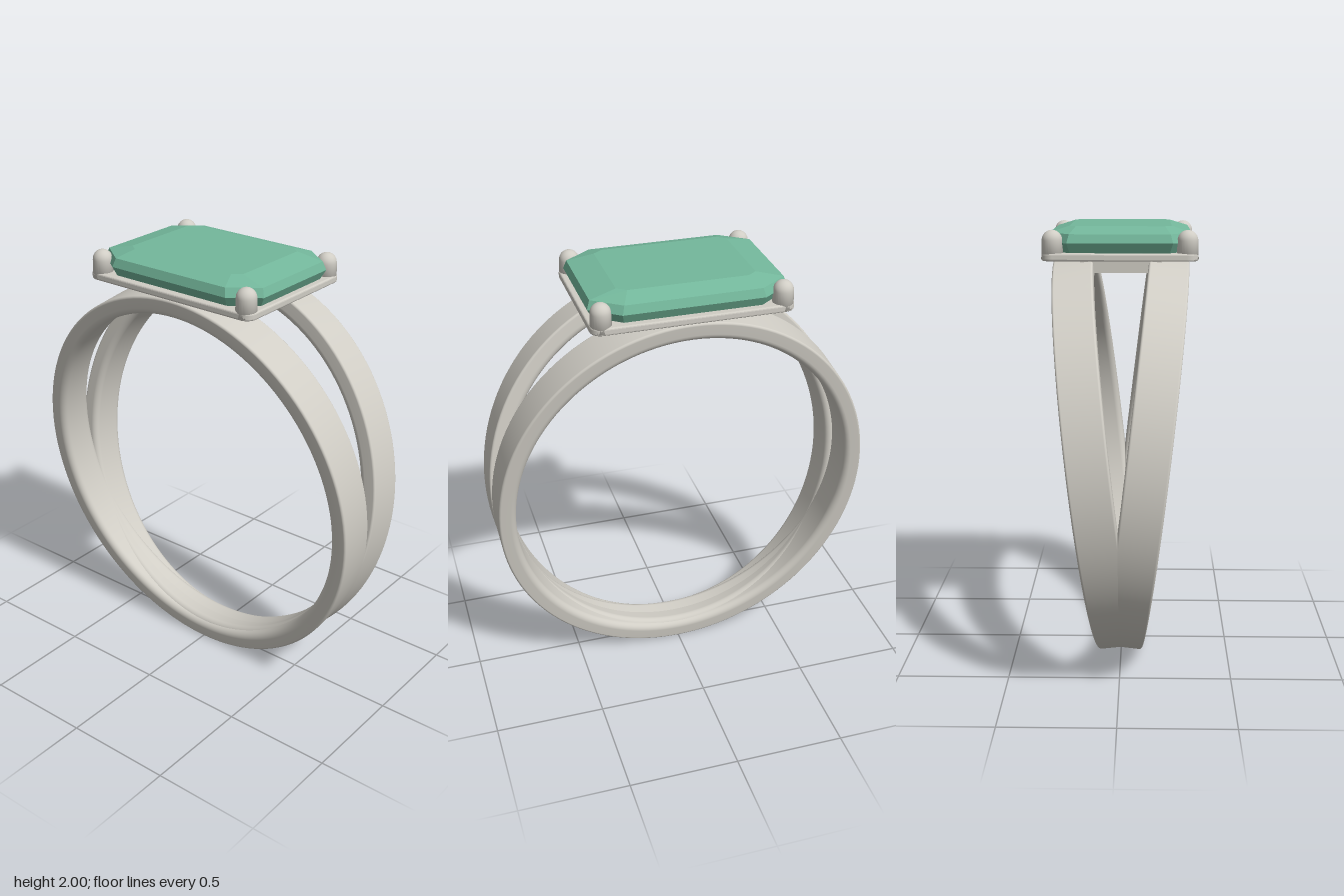
import * as THREE from 'three';

const metal = new THREE.MeshStandardMaterial({ color: 0xd0cdc5 });
metal.name = 'silver metal';
const green = new THREE.MeshStandardMaterial({ color: 0x74b89c });
green.name = 'green gem';

const TILT = 0.117;
const HALF_WIDTH = 0.09;

function add(group, name, geometry, material) {
  const mesh = new THREE.Mesh(geometry, material);
  mesh.name = name;
  group.add(mesh);
  return mesh;
}

// Band section (radius, width): flat outside, softly rounded inside
function bandProfile(inner, outer) {
  const pts = [new THREE.Vector2(outer, 0)];
  const fillet = (r, y, rad, start) => {
    for (let i = 0; i <= 6; i++) {
      const a = start + (i / 6) * Math.PI / 2;
      pts.push(new THREE.Vector2(r + rad * Math.cos(a), y + rad * Math.sin(a)));
    }
  };
  const w = HALF_WIDTH, ro = 0.01, ri = 0.03;
  fillet(outer - ro, w - ro, ro, 0);
  fillet(inner + ri, w - ri, ri, Math.PI / 2);
  fillet(inner + ri, -w + ri, ri, Math.PI);
  fillet(outer - ro, -w + ro, ro, Math.PI * 1.5);
  pts.push(new THREE.Vector2(outer, 0));
  return pts;
}

// Slightly tall hoop, leaning sideways from its lowest point
function bandGeometry(side) {
  const g = new THREE.LatheGeometry(bandProfile(0.788, 0.87), 128);
  g.rotateZ(Math.PI / 2);
  g.scale(1, 1.068, 1);
  g.translate(0, 0.93, 0);
  g.rotateZ(-side * TILT);
  g.translate(0, 0.0095, 0);
  return g;
}

// Rounded rectangular plate with a small bevel
function plateGeometry(hx, hz, y0, y1) {
  const b = 0.008, r = 0.04, x = hx - b, z = hz - b;
  const s = new THREE.Shape();
  s.absarc(x - r, z - r, r, 0, Math.PI / 2);
  s.absarc(-x + r, z - r, r, Math.PI / 2, Math.PI);
  s.absarc(-x + r, -z + r, r, Math.PI, Math.PI * 1.5);
  s.absarc(x - r, -z + r, r, Math.PI * 1.5, Math.PI * 2);
  const g = new THREE.ExtrudeGeometry(s, {
    depth: y1 - y0 - 2 * b, bevelThickness: b, bevelSize: b, bevelSegments: 3, curveSegments: 8,
  });
  g.rotateX(-Math.PI / 2);
  g.translate(0, y0 + b, 0);
  return g;
}

// Step-cut stone: stacked eight-sided loops joined by flat facets
function gemGeometry() {
  const levels = [ // y, half x, half z, corner cut x, corner cut z
    [1.885, 0.295, 0.41, 0.085, 0.11],
    [1.935, 0.32, 0.437, 0.095, 0.127],
    [1.973, 0.307, 0.424, 0.092, 0.124],
    [2.0, 0.222, 0.305, 0.03, 0.04],
  ];
  const loops = levels.map(([y, x, z, cx, cz]) => [
    [x, z - cz], [x, -z + cz], [x - cx, -z], [-x + cx, -z],
    [-x, -z + cz], [-x, z - cz], [-x + cx, z], [x - cx, z],
  ].map(([px, pz]) => [px, y, pz]));
  const pos = [];
  const tri = (a, b, c) => pos.push(...a, ...b, ...c);
  for (let l = 0; l < loops.length - 1; l++) {
    for (let i = 0; i < 8; i++) {
      const j = (i + 1) % 8, lo = loops[l], hi = loops[l + 1];
      tri(lo[i], lo[j], hi[j]);
      tri(lo[i], hi[j], hi[i]);
    }
  }
  const bottom = loops[0], table = loops[loops.length - 1];
  for (let i = 1; i < 7; i++) {
    tri(table[0], table[i], table[i + 1]);
    tri(bottom[0], bottom[i + 1], bottom[i]);
  }
  const g = new THREE.BufferGeometry();
  g.setAttribute('position', new THREE.Float32BufferAttribute(pos, 3));
  g.computeVertexNormals();
  return g;
}

// Round-topped claw
function prongGeometry() {
  const r = 0.044, pts = [new THREE.Vector2(0, 1.868), new THREE.Vector2(r + 0.003, 1.868)];
  for (let i = 0; i <= 10; i++) {
    const a = (i / 10) * Math.PI / 2;
    pts.push(new THREE.Vector2(i === 10 ? 0 : r * Math.cos(a), 1.946 + r * Math.sin(a)));
  }
  return new THREE.LatheGeometry(pts, 24);
}

export function createModel() {
  const ring = new THREE.Group();
  ring.name = 'ring';

  // Split shank
  add(ring, 'leftBand', bandGeometry(1), metal);
  add(ring, 'rightBand', bandGeometry(-1), metal);

  // Setting
  const bridge = add(ring, 'bridge', new THREE.BoxGeometry(0.36, 0.075, 0.4), metal);
  bridge.position.y = 1.8275;
  add(ring, 'settingPlate', plateGeometry(0.334, 0.445, 1.86, 1.893), metal);
  const claw = prongGeometry();
  for (const x of [-1, 1]) {
    for (const z of [-1, 1]) {
      const name = (z > 0 ? 'front' : 'back') + (x > 0 ? 'Left' : 'Right') + 'Prong';
      add(ring, name, claw, metal).position.set(x * 0.288, 0, z * 0.396);
    }
  }

  // Stone
  add(ring, 'gemstone', gemGeometry(), green);
  return ring;
}
